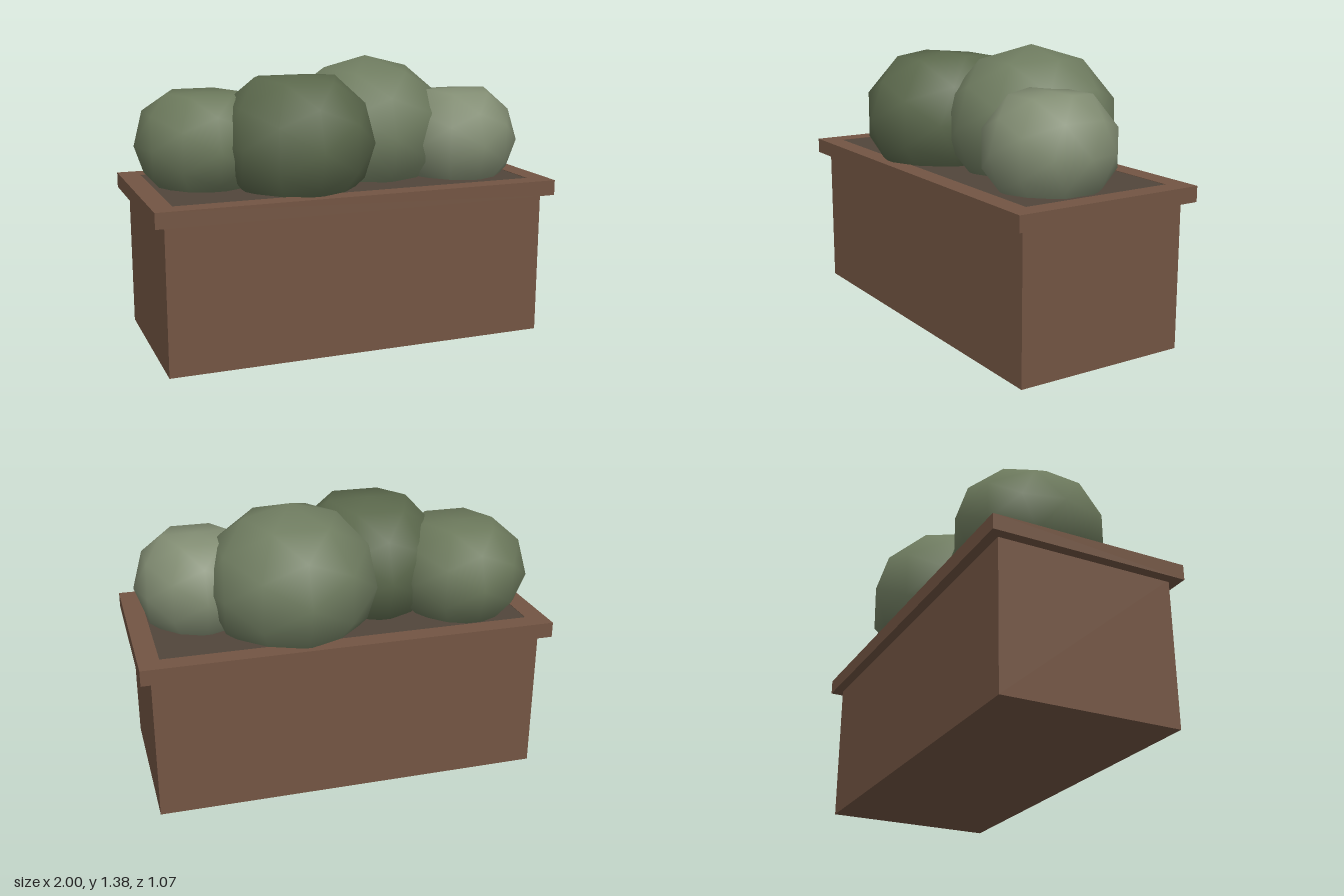
import * as THREE from 'three';
import { mergeVertices } from 'three/addons/utils/BufferGeometryUtils.js';

const material = (color) => new THREE.MeshStandardMaterial({ color });

function addMesh(group, name, geometry, mat) {
  const mesh = new THREE.Mesh(geometry, mat);
  mesh.name = name;
  group.add(mesh);
  return mesh;
}

// Rectangle outline, used for the rim and its opening
function rectangle(Type, halfX, halfZ) {
  return new Type().setFromPoints([
    new THREE.Vector2(-halfX, -halfZ), new THREE.Vector2(halfX, -halfZ),
    new THREE.Vector2(halfX, halfZ), new THREE.Vector2(-halfX, halfZ),
  ]);
}

// Low-poly bush with smooth normals and a slightly flattened crown
function bushGeometry([rx, ry, rz], crown) {
  let geometry = new THREE.IcosahedronGeometry(1, 1);
  geometry.deleteAttribute('uv');
  geometry.deleteAttribute('normal');
  geometry = mergeVertices(geometry, 1e-4);
  geometry.scale(rx, ry, rz);
  const p = geometry.attributes.position;
  for (let i = 0; i < p.count; i++) p.setY(i, Math.min(p.getY(i), crown));
  geometry.computeVertexNormals();
  return geometry;
}

export function createModel() {
  const model = new THREE.Group();
  model.name = 'planter';
  const wood = material(0x735543);

  // Planter box
  addMesh(model, 'planterBox', new THREE.BoxGeometry(1.9, 0.72, 0.87), wood).position.y = 0.36;

  // Overhanging rim around the soil
  const outline = rectangle(THREE.Shape, 1, 0.485);
  outline.holes.push(rectangle(THREE.Path, 0.9, 0.385));
  const rimGeometry = new THREE.ExtrudeGeometry(outline, { depth: 0.075, bevelEnabled: false });
  rimGeometry.rotateX(-Math.PI / 2);
  addMesh(model, 'rim', rimGeometry, wood).position.y = 0.71;

  // Soil, almost flush with the rim
  addMesh(model, 'soil', new THREE.BoxGeometry(1.8, 0.08, 0.77), material(0x51463b)).position.y = 0.743;

  // Bushes: centre, radii, crown height above the centre, colour
  const bushes = [
    ['tallBush', [0.22, 1.0, -0.11], [0.43, 0.38, 0.425], 0.38, 0x6f7c60],
    ['frontBush', [-0.23, 1.0, 0.105], [0.385, 0.365, 0.425], 0.315, 0x5b684c],
    ['rightBush', [-0.635, 0.98, -0.11], [0.34, 0.31, 0.37], 0.245, 0x6c795c],
    ['leftBush', [0.645, 0.96, 0.08], [0.31, 0.3, 0.325], 0.255, 0x828d73],
  ];
  for (const [name, centre, radii, crown, color] of bushes) {
    addMesh(model, name, bushGeometry(radii, crown), material(color)).position.set(...centre);
  }
  return model;
}
